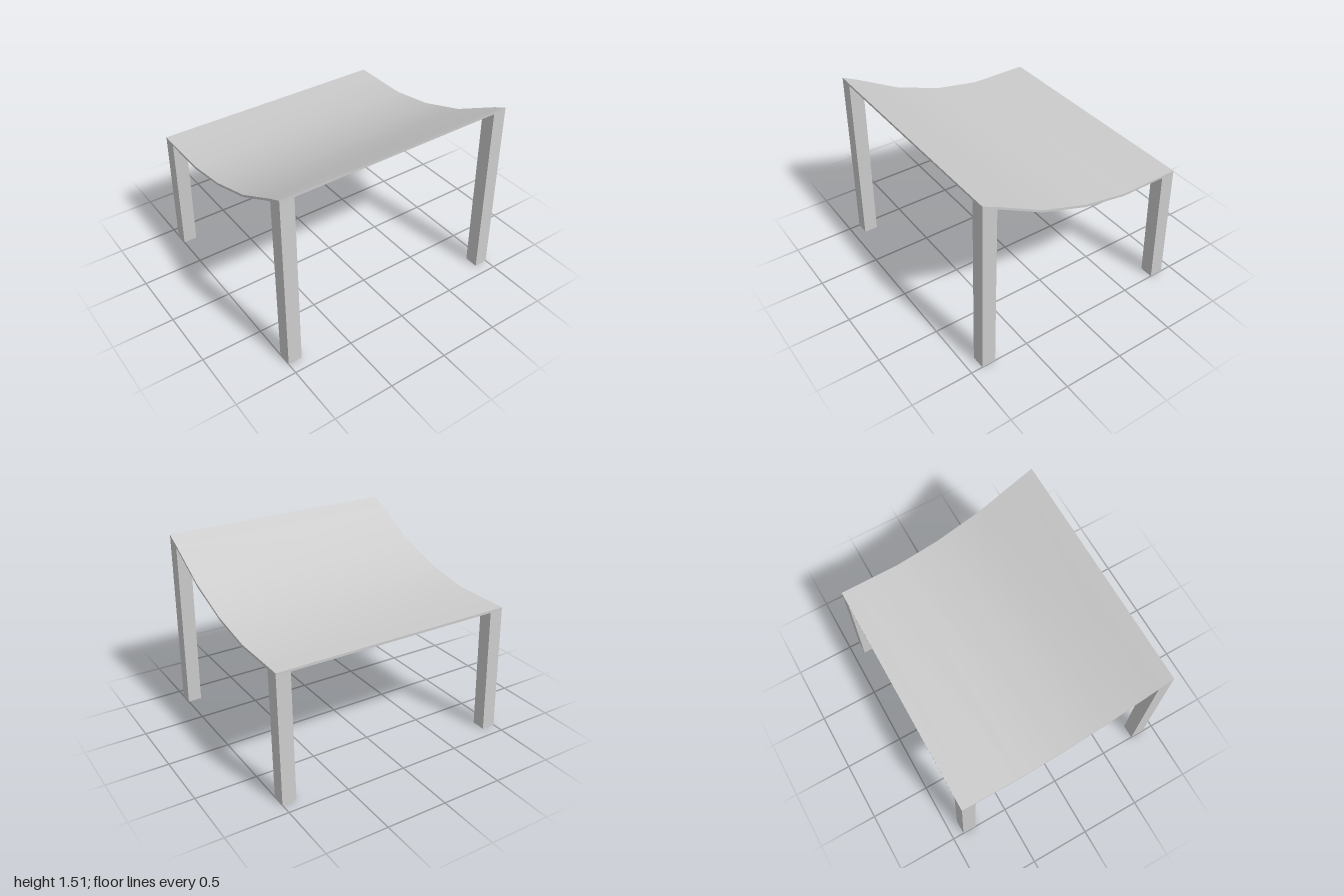
import * as THREE from 'three';
import { toCreasedNormals } from 'three/addons/utils/BufferGeometryUtils.js';

const material = new THREE.MeshStandardMaterial({ color: 0xcccccc });

// Extrudes a side outline of [z, y] points across x, from x0 to x1
function sidePanel(name, outline, x0, x1) {
  const shape = new THREE.Shape(outline.map(([z, y]) => new THREE.Vector2(z, y)));
  const geometry = new THREE.ExtrudeGeometry(shape, { depth: x1 - x0, bevelEnabled: false });
  geometry.rotateY(-Math.PI / 2).translate(x1, 0, 0);
  const mesh = new THREE.Mesh(toCreasedNormals(geometry, 0.4), material);
  mesh.name = name;
  return mesh;
}

export function createModel() {
  const group = new THREE.Group();
  group.name = 'stool';

  // Thin curved seat, high at the front and levelling out at the back
  const thickness = 0.02;
  const top = [[0.875, 1.508], [0.76, 1.453], [0.385, 1.253], [0, 1.123],
    [-0.37, 1.058], [-0.755, 1.058], [-0.87, 1.058]];
  const under = top.map(([z, y]) => [z, y - thickness]);
  group.add(sidePanel('seat', [...top, ...under.slice().reverse()], -1, 1));

  // Four splayed legs meeting the underside of the seat
  const legs = {
    frontLeg: [[0.905, 0], [0.79, 0], under[1], under[0]],
    backLeg: [[-0.79, 0], [-0.905, 0], under[6], under[5]],
  };
  const width = 0.115;
  for (const [name, outline] of Object.entries(legs)) {
    group.add(sidePanel(name + 'Left', outline, 1 - width, 1));
    group.add(sidePanel(name + 'Right', outline, -1, -1 + width));
  }
  return group;
}
